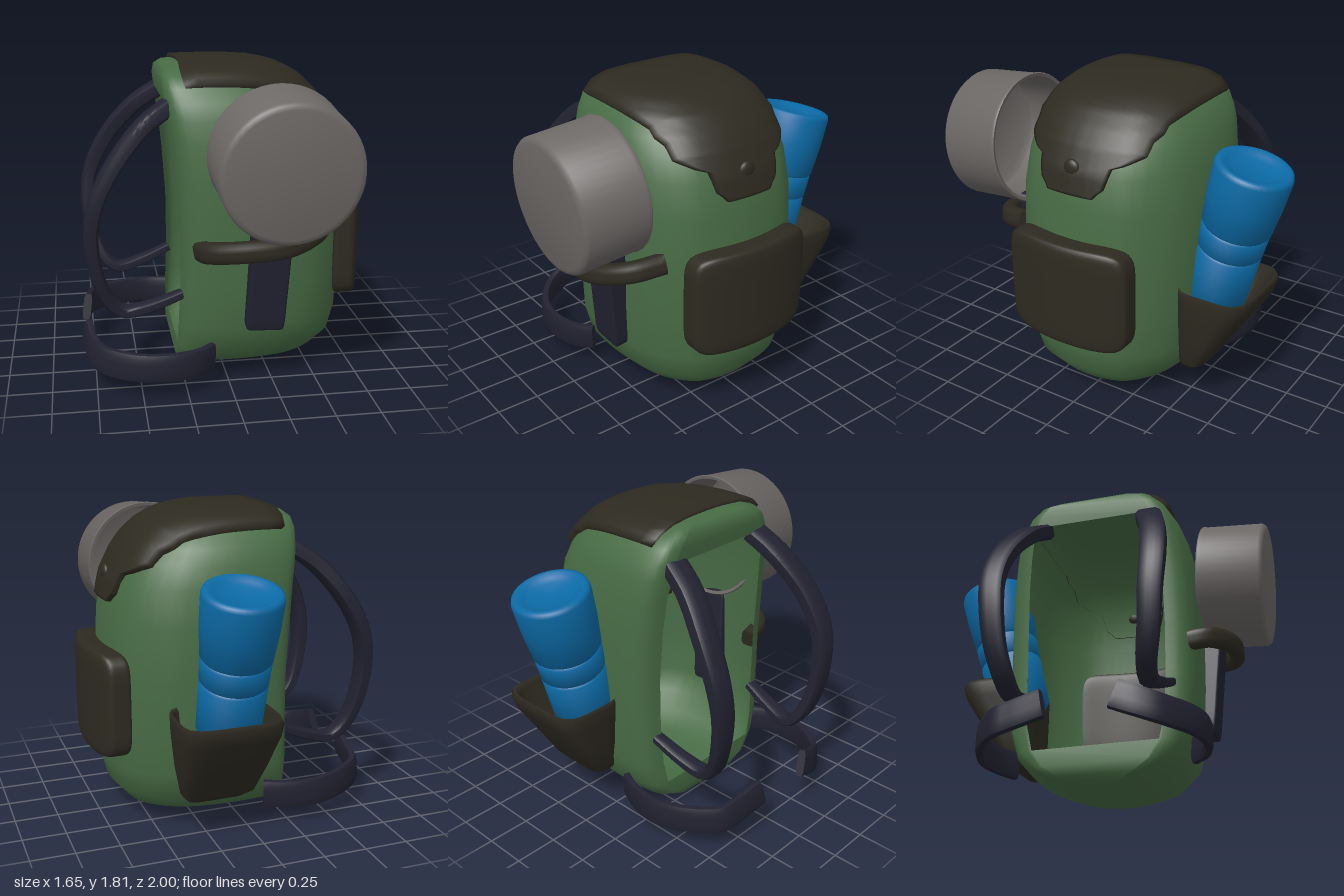
import * as THREE from 'three';
import { mergeVertices, toCreasedNormals } from 'three/addons/utils/BufferGeometryUtils.js';

const V = (x, y, z) => new THREE.Vector3(x, y, z);
const MID = 0.02; // z of the bag's mirror plane

function material(name, color) {
  const m = new THREE.MeshStandardMaterial({ color, side: THREE.DoubleSide });
  m.name = name;
  return m;
}

// Skin a list of rings; skip(j, i) leaves a quad out, caps close the two ends
function loft(rings, { closed = true, caps = false, skip = () => false } = {}) {
  const n = rings[0].length, pos = [], index = [];
  rings.forEach(r => r.forEach(p => pos.push(p.x, p.y, p.z)));
  for (let j = 0; j < rings.length - 1; j++) {
    for (let i = 0; i < (closed ? n : n - 1); i++) {
      if (skip(j, i)) continue;
      const a = j * n + i, b = j * n + (i + 1) % n;
      index.push(a, a + n, b, b, a + n, b + n);
    }
  }
  if (caps) {
    [0, rings.length - 1].forEach(j => {
      const c = rings[j].reduce((s, p) => s.add(p), V(0, 0, 0)).divideScalar(n);
      const k = pos.length / 3;
      pos.push(c.x, c.y, c.z);
      for (let i = 0; i < n; i++) {
        const a = j * n + i, b = j * n + (i + 1) % n;
        index.push(...(j ? [k, b, a] : [k, a, b]));
      }
    });
  }
  const g = new THREE.BufferGeometry();
  g.setAttribute('position', new THREE.Float32BufferAttribute(pos, 3));
  g.setIndex(index);
  g.computeVertexNormals();
  return g;
}

// Points of a rounded rectangle, in -1..1
function roundedSquare(count, power) {
  return Array.from({ length: count }, (_, i) => {
    const a = (i + 0.5) / count * Math.PI * 2, c = Math.cos(a), s = Math.sin(a);
    const f = (Math.abs(c) ** power + Math.abs(s) ** power) ** (-1 / power);
    return [c * f, s * f];
  });
}

// Flat padded band along a path; broad is the direction of its width
function ribbon(points, broad, width, thick, endScale = 1) {
  const curve = new THREE.CatmullRomCurve3(points.map(p => V(...p)));
  const section = roundedSquare(16, 5), rings = [];
  for (let j = 0; j <= 36; j++) {
    const u = j / 36, p = curve.getPointAt(u), t = curve.getTangentAt(u);
    const w = broad.clone().addScaledVector(t, -broad.dot(t)).normalize();
    const n = t.clone().cross(w), k = 1 + (endScale - 1) * u ** 2;
    rings.push(section.map(([a, b]) => p.clone()
      .addScaledVector(w, a * width * k / 2).addScaledVector(n, b * thick * k / 2)));
  }
  return toCreasedNormals(loft(rings, { caps: true }), 0.9);
}

// Soft rounded box
function pillow(w, h, d, power) {
  let g = new THREE.BoxGeometry(2, 2, 2, 18, 18, 18);
  g.deleteAttribute('uv');
  g.deleteAttribute('normal');
  g = mergeVertices(g);
  const p = g.attributes.position;
  for (let i = 0; i < p.count; i++) {
    const q = [p.getX(i), p.getY(i), p.getZ(i)];
    const f = q.reduce((s, c) => s + Math.abs(c) ** power, 0) ** (-1 / power) / 2;
    p.setXYZ(i, q[0] * f * w, q[1] * f * h, q[2] * f * d);
  }
  return g;
}

function bodyGeometry() {
  // height, back x, front x, half width
  const rows = [
    [0, -0.1, 0, 0], [0.005, -0.2, 0.16, 0.13], [0.04, -0.27, 0.45, 0.28], [0.1, -0.285, 0.595, 0.41],
    [0.2, -0.28, 0.68, 0.5], [0.35, -0.275, 0.712, 0.545], [0.6, -0.265, 0.72, 0.56], [0.9, -0.265, 0.72, 0.565],
    [1.2, -0.285, 0.7, 0.56], [1.4, -0.305, 0.655, 0.54], [1.52, -0.325, 0.595, 0.515], [1.6, -0.335, 0.54, 0.485],
    [1.68, -0.345, 0.455, 0.435], [1.735, -0.34, 0.36, 0.37], [1.765, -0.31, 0.25, 0.28], [1.775, -0.24, 0.12, 0.14],
    [1.777, -0.05, 0, 0]];
  // half outline: depth 0..1, width 0..1
  const half = new THREE.SplineCurve([[0, 0.72], [0.025, 0.86], [0.09, 0.95], [0.25, 1], [0.5, 0.99],
    [0.74, 0.88], [0.92, 0.6], [0.985, 0.28], [1, 0]].map(p => new THREE.Vector2(...p))).getPoints(24);
  const outline = [...half, ...half.slice(0, -1).reverse().map(p => new THREE.Vector2(p.x, -p.y))];
  const rings = rows.map(([y, xb, xf, hw]) => outline.map(p => V(xb + (xf - xb) * p.x, y, MID + hw * p.y)));
  // the back panel is open between the fourth and the upper rows
  return loft(rings, { skip: (j, i) => i === outline.length - 1 && j >= 4 && j < 11 });
}

// Lid laid over the body: each row gives centre x, y and the scalloped edge x, y, z
function lidGeometry(body) {
  const rows = [
    [-0.235, 1.8, -0.225, 1.68, 0.42], [0, 1.8, 0, 1.68, 0.425], [0.2, 1.78, 0.2, 1.68, 0.425],
    [0.4, 1.72, 0.34, 1.66, 0.405], [0.46, 1.69, 0.38, 1.61, 0.395], [0.52, 1.64, 0.44, 1.58, 0.37],
    [0.58, 1.56, 0.5, 1.515, 0.365], [0.6, 1.54, 0.53, 1.495, 0.33], [0.62, 1.5, 0.56, 1.48, 0.3],
    [0.635, 1.47, 0.58, 1.465, 0.27], [0.655, 1.43, 0.6, 1.445, 0.215], [0.67, 1.36, 0.65, 1.34, 0.19],
    [0.68, 1.33, 0.66, 1.31, 0.155], [0.69, 1.29, 0.68, 1.29, 0.14]];
  const caster = new THREE.Raycaster(), origin = V(0.05, 1.15, MID);
  const steps = (rows.length - 1) * 3, cols = 24, rings = [];
  body.updateMatrixWorld(true);
  for (let j = -1; j <= steps + 1; j++) {
    const s = THREE.MathUtils.clamp(j, 0, steps) / 3, k = Math.min(Math.floor(s), rows.length - 2);
    const r = rows[k].map((v, m) => v + (rows[k + 1][m] - v) * (s - k));
    const ring = [];
    for (let i = -1; i <= cols + 1; i++) {
      const t = THREE.MathUtils.clamp(i, 0, cols) / cols * 2 - 1;
      const guess = V(r[0] + (r[2] - r[0]) * t * t, r[1] + (r[3] - r[1]) * t * t, MID + r[4] * t);
      const dir = guess.clone().sub(origin).normalize();
      caster.set(origin, dir);
      const hit = caster.intersectObject(body)[0];
      const rim = i < 0 || j < 0 || i > cols || j > steps;
      ring.push((hit ? hit.point.clone() : guess).addScaledVector(dir, rim ? -0.015 : 0.03));
    }
    rings.push(ring);
  }
  return loft(rings, { closed: false });
}

const lathe = (profile, crease) => toCreasedNormals(
  new THREE.LatheGeometry(profile.map(p => new THREE.Vector2(...p)), 48), crease);

export function createModel() {
  const green = material('green canvas', 0x476b44), brown = material('dark brown cloth', 0x2d2a20);
  const navy = material('navy webbing', 0x222231), grey = material('grey metal', 0x6c6866);
  const blue = material('blue bottle', 0x0b69a4);
  const model = new THREE.Group();
  model.name = 'backpack';
  const add = (name, geometry, mat, x = 0, y = 0, z = 0) => {
    const m = new THREE.Mesh(geometry, mat);
    m.name = name;
    m.position.set(x, y, z);
    model.add(m);
    return m;
  };

  // Bag, lid and button
  const body = add('body', bodyGeometry(), green);
  add('lid', lidGeometry(body), brown);
  add('lidButton', new THREE.SphereGeometry(0.05, 20, 14), brown, 0.662, 1.43, MID).scale.x = 0.5;

  // Front pocket, bent around the bag
  const pocket = pillow(0.15, 0.61, 0.77, 7), pp = pocket.attributes.position;
  for (let i = 0; i < pp.count; i++) pp.setX(i, pp.getX(i) - 0.5 * pp.getZ(i) ** 2);
  pocket.computeVertexNormals();
  add('frontPocket', pocket, brown, 0.757, 0.735, MID + 0.005);

  // Side pocket: height, x range, outer z
  const square = roundedSquare(32, 5);
  const pocketRings = [[0.225, 0.05, 0.37, -0.58], [0.27, 0, 0.41, -0.64], [0.45, -0.04, 0.45, -0.75],
    [0.66, -0.07, 0.48, -0.885], [0.74, -0.075, 0.485, -0.91], [0.765, -0.065, 0.475, -0.895],
    [0.74, -0.045, 0.455, -0.87], [0.45, 0, 0.4, -0.71]].map(([y, x0, x1, z]) => square.map(([a, b]) =>
    V((x0 + x1) / 2 + a * (x1 - x0) / 2, y, (z - 0.48) / 2 + b * (z + 0.48) / 2)));
  add('sidePocket', loft(pocketRings, { caps: true }), brown);

  // Bottle leaning outwards, with two grooves and a dished cap
  const bottle = add('bottle', lathe([[0, -0.86], [0.16, -0.86], [0.18, -0.83], [0.187, -0.54], [0.178, -0.53],
    [0.187, -0.52], [0.193, -0.4], [0.185, -0.39], [0.196, -0.375], [0.212, -0.2], [0.218, -0.03], [0.211, -0.008],
    [0.195, 0], [0.175, -0.004], [0.15, -0.018], [0.12, -0.032], [0, -0.036]], 0.9), blue, 0.15, 1.45, -0.79);
  bottle.rotation.x = -0.25;

  // Pot with its open end pressed into the bag
  const pot = add('pot', lathe([[0, 0.185], [0.34, 0.185], [0.364, 0.178], [0.376, 0.16], [0.378, -0.18],
    [0.383, -0.195], [0.378, -0.205], [0.36, -0.2], [0.355, 0.13], [0.32, 0.16], [0, 0.165]], 0.8),
  grey, 0.245, 1.333, 0.798);
  pot.rotation.x = Math.PI / 2 + 0.085;

  // Strap and loop that hold the pot
  const holder = add('potStrap', pillow(0.22, 0.66, 0.12, 14), navy, 0.2, 0.68, 0.6);
  holder.geometry = toCreasedNormals(holder.geometry, 0.6);
  holder.rotation.set(0.1, 0, -0.05);
  add('potLoop', ribbon([[-0.17, 0.8, 0.5], [-0.13, 0.83, 0.65], [0.05, 0.86, 0.75], [0.28, 0.88, 0.75],
    [0.47, 0.93, 0.64], [0.54, 0.96, 0.46]], V(-0.15, 1, 0), 0.11, 0.085), brown);

  // Shoulder straps, mirrored
  for (const [side, s] of [['left', 1], ['right', -1]]) {
    const path = [[-0.29, 1.59, 0.33], [-0.45, 1.48, 0.37], [-0.62, 1.28, 0.43],
      [-0.725, 1.07, 0.45], [-0.755, 0.88, 0.44], [-0.725, 0.65, 0.42], [-0.66, 0.49, 0.39], [-0.58, 0.425, 0.38],
      [-0.42, 0.46, 0.4], [-0.25, 0.53, 0.42]].map(([x, y, z]) => [x, y, MID + s * z]);
    add(side + 'ShoulderStrap', ribbon(path, V(0, 0, 1), 0.15, 0.095, 0.5), navy);
  }

  // Hip belt halves of unequal length
  const belts = {
    leftHipBelt: [[-0.1, 0.18, 0.54], [-0.2, 0.18, 0.62], [-0.36, 0.18, 0.655], [-0.55, 0.18, 0.62],
      [-0.72, 0.19, 0.5], [-0.77, 0.22, 0.4], [-0.79, 0.27, 0.27]],
    rightHipBelt: [[-0.1, 0.18, -0.5], [-0.22, 0.18, -0.55], [-0.4, 0.18, -0.57], [-0.6, 0.19, -0.5],
      [-0.74, 0.2, -0.38], [-0.765, 0.22, -0.28], [-0.785, 0.26, -0.1]] };
  for (const [name, path] of Object.entries(belts)) add(name, ribbon(path, V(0.1, 1, 0), 0.16, 0.05), navy);
  return model;
}
